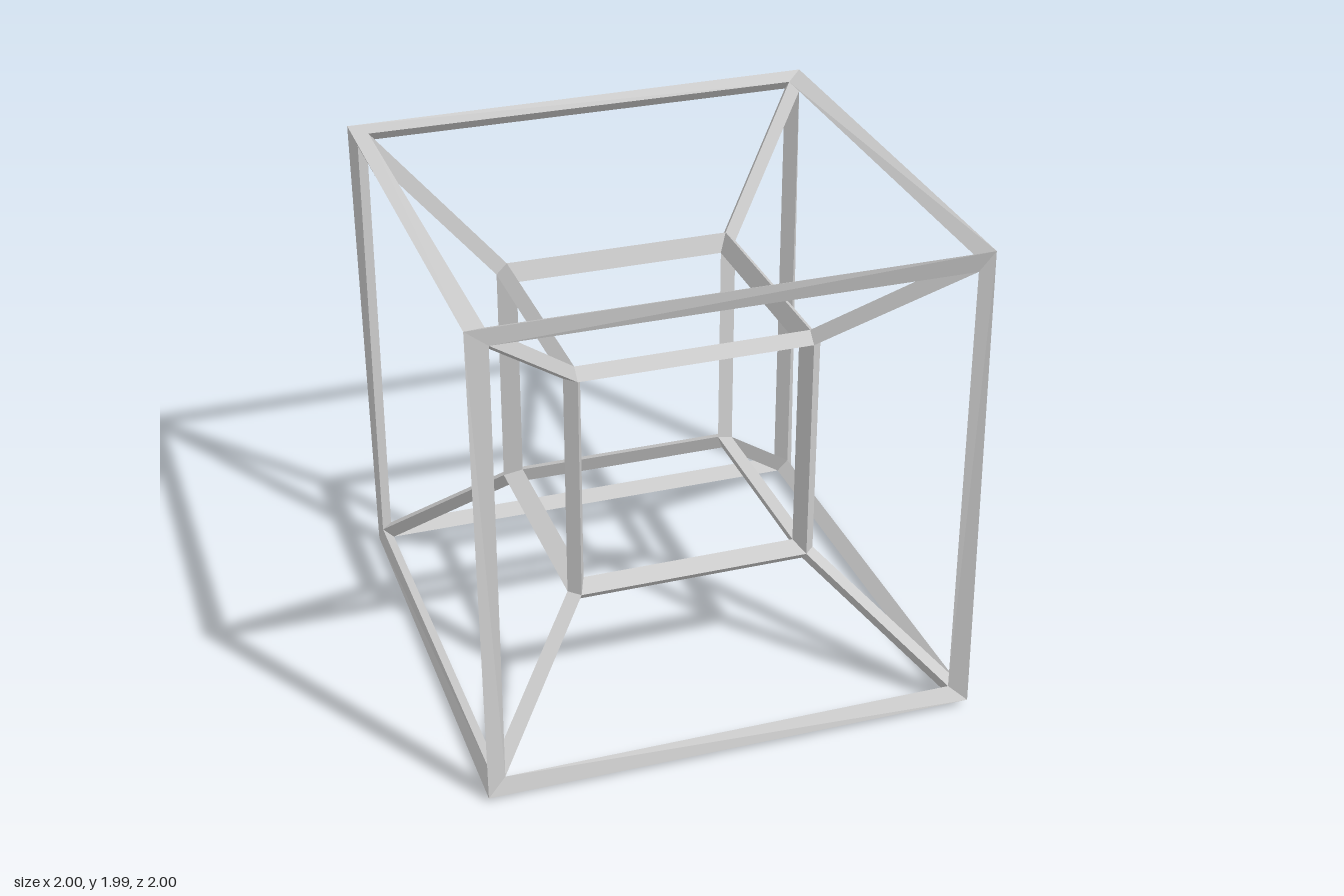
import * as THREE from 'three';

// Cube-in-a-cube frame. Corners have signs [x, y, z, w]; w = +1 is the outer cube, -1 the inner.
// Each bar is a three-sided prism whose ridges lie on the shrunken cells around it.
const RIDGE = { outer: 0.98, inner: 0.437 };
const CELL = { outer: [0.91, 0.957], inner: [0.468, 0.512] }; // [across, along the cell's axis]

// Ridge point of a corner that belongs to the cell on the given axis
function ridgePoint(s, axis) {
  const ring = s[3] > 0 ? 'outer' : 'inner';
  let p;
  if (axis === 3) {
    const [x, y, z] = s.slice(0, 3).map((v) => v * RIDGE[ring]);
    // the outermost ridges are turned very slightly
    p = s[3] > 0
      ? [x - 0.01 * z - 0.008 * y, y + 0.008 * x + 0.008 * z, z + 0.01 * x - 0.008 * y]
      : [x, y, z];
  } else {
    const [across, along] = CELL[ring];
    p = [0, 1, 2].map((i) => s[i] * (i === axis ? along : across));
  }
  return new THREE.Vector3(p[0], p[1] + 1, p[2]);
}

// Prism between two triangles, every face turned outward
function prism(a, b) {
  const centre = new THREE.Vector3();
  [...a, ...b].forEach((p) => centre.addScaledVector(p, 1 / 6));
  const pos = [];
  const tri = (p, q, r) => {
    const n = q.clone().sub(p).cross(r.clone().sub(p));
    const out = n.dot(p.clone().sub(centre)) >= 0;
    for (const v of out ? [p, q, r] : [p, r, q]) pos.push(v.x, v.y, v.z);
  };
  for (let i = 0; i < 3; i++) {
    const j = (i + 1) % 3;
    tri(a[i], a[j], b[j]);
    tri(a[i], b[j], b[i]);
  }
  tri(...a);
  tri(...b);
  const g = new THREE.BufferGeometry();
  g.setAttribute('position', new THREE.Float32BufferAttribute(pos, 3));
  g.computeVertexNormals();
  return g;
}

export function createModel() {
  const model = new THREE.Group();
  model.name = 'nestedCubeFrame';
  const material = new THREE.MeshStandardMaterial({ color: 0xcccccc, flatShading: true });
  const groups = {};
  for (const name of ['outerCube', 'innerCube', 'diagonalStruts']) {
    groups[name] = new THREE.Group();
    groups[name].name = name;
    model.add(groups[name]);
  }

  // One bar for each pair of corners that differ in a single sign
  for (let d = 0; d < 4; d++) {
    const others = [0, 1, 2, 3].filter((i) => i !== d);
    for (let bits = 0; bits < 8; bits++) {
      const start = [0, 0, 0, 0];
      others.forEach((axis, i) => { start[axis] = bits & (1 << i) ? 1 : -1; });
      start[d] = -1;
      const end = start.slice();
      end[d] = 1;
      const bar = new THREE.Mesh(
        prism(others.map((k) => ridgePoint(start, k)), others.map((k) => ridgePoint(end, k))),
        material,
      );
      const part = d === 3 ? 'diagonalStruts' : start[3] > 0 ? 'outerCube' : 'innerCube';
      bar.name = d === 3 ? 'strut' : start[3] > 0 ? 'outerBar' : 'innerBar';
      groups[part].add(bar);
    }
  }
  return model;
}
